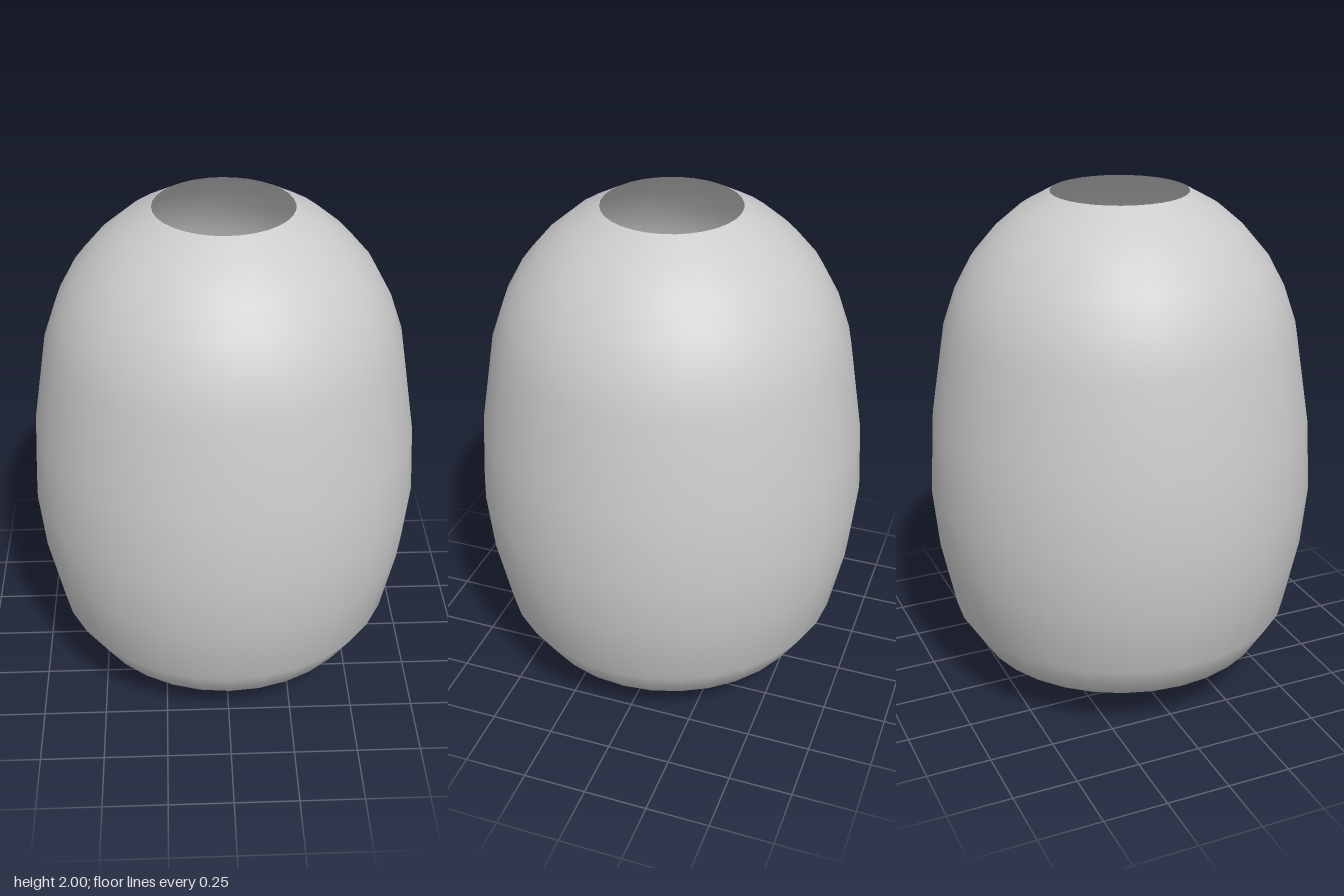
import * as THREE from 'three';

export function createModel() {
  const group = new THREE.Group();
  group.name = 'vase';

  // Thin open shell: radius and height from the base point up to the rim
  const profile = [
    [0, 0], [0.21, 0.025], [0.41, 0.09], [0.59, 0.185], [0.68, 0.33],
    [0.735, 0.6], [0.757, 0.84], [0.74, 1.12], [0.68, 1.485], [0.63, 1.63],
    [0.565, 1.75], [0.48, 1.85], [0.38, 1.935], [0.262, 2],
  ].map(([r, y]) => new THREE.Vector2(r, y));

  const material = new THREE.MeshStandardMaterial({ color: 0xcccccc, side: THREE.DoubleSide });
  const shell = new THREE.Mesh(new THREE.LatheGeometry(profile, 32), material);
  shell.name = 'vaseShell';
  group.add(shell);

  return group;
}
